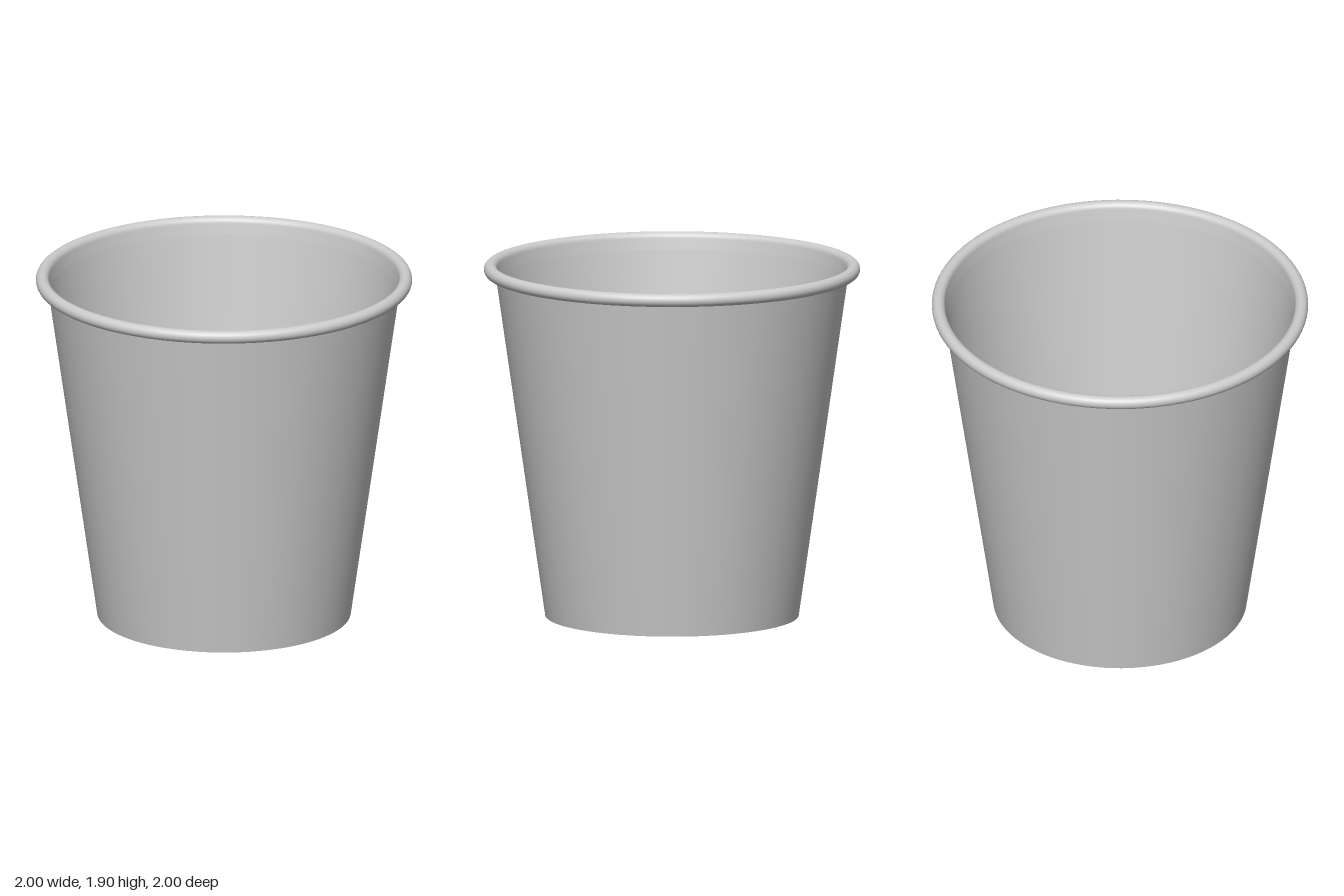
import * as THREE from 'three';

const SEGMENTS = 96;
const material = new THREE.MeshStandardMaterial({ color: 0xcccccc });

// Wall radii at a given height (tapered paper sheet)
const SHEET = 0.014;
const outer = (y) => 0.674 + 0.1435 * y;
const inner = (y) => outer(y) - SHEET;

// Revolve a profile of [radius, height] pairs; solid lies to its left
function revolve(name, profile) {
  const points = profile.map(([r, y]) => new THREE.Vector2(r, y));
  const mesh = new THREE.Mesh(new THREE.LatheGeometry(points, SEGMENTS), material);
  mesh.name = name;
  return mesh;
}

export function createModel() {
  const cup = new THREE.Group();
  cup.name = 'cup';

  // Tapered wall: separate runs keep the bottom edge sharp
  const wall = new THREE.Group();
  wall.name = 'wall';
  wall.add(
    revolve('outerWall', [[outer(0), 0], [outer(1.84), 1.84]]),
    revolve('innerWall', [[inner(1.81), 1.81], [inner(0), 0]]),
    revolve('bottomEdge', [[inner(0), 0], [outer(0), 0]]),
  );

  // Rolled rim: from under the roll, around the outside, then down into the cup
  const rollRadius = 0.035, rollCentre = 0.965, rollHeight = 1.865;
  const roll = [[outer(1.83), 1.83]];
  for (let i = 0; i <= 20; i++) {
    const a = -Math.PI / 2 + (i / 20) * Math.PI * 1.5;
    roll.push([rollCentre + rollRadius * Math.cos(a), rollHeight + rollRadius * Math.sin(a)]);
  }
  roll.push([inner(1.81), 1.81]);
  const rim = revolve('rolledRim', roll);

  // Floor raised above the base, leaving a skirt beneath
  const floor = new THREE.Mesh(
    new THREE.CylinderGeometry(inner(0.165) + 0.002, inner(0.155) + 0.002, 0.01, SEGMENTS),
    material,
  );
  floor.name = 'floor';
  floor.position.y = 0.16;

  cup.add(wall, rim, floor);
  return cup;
}
